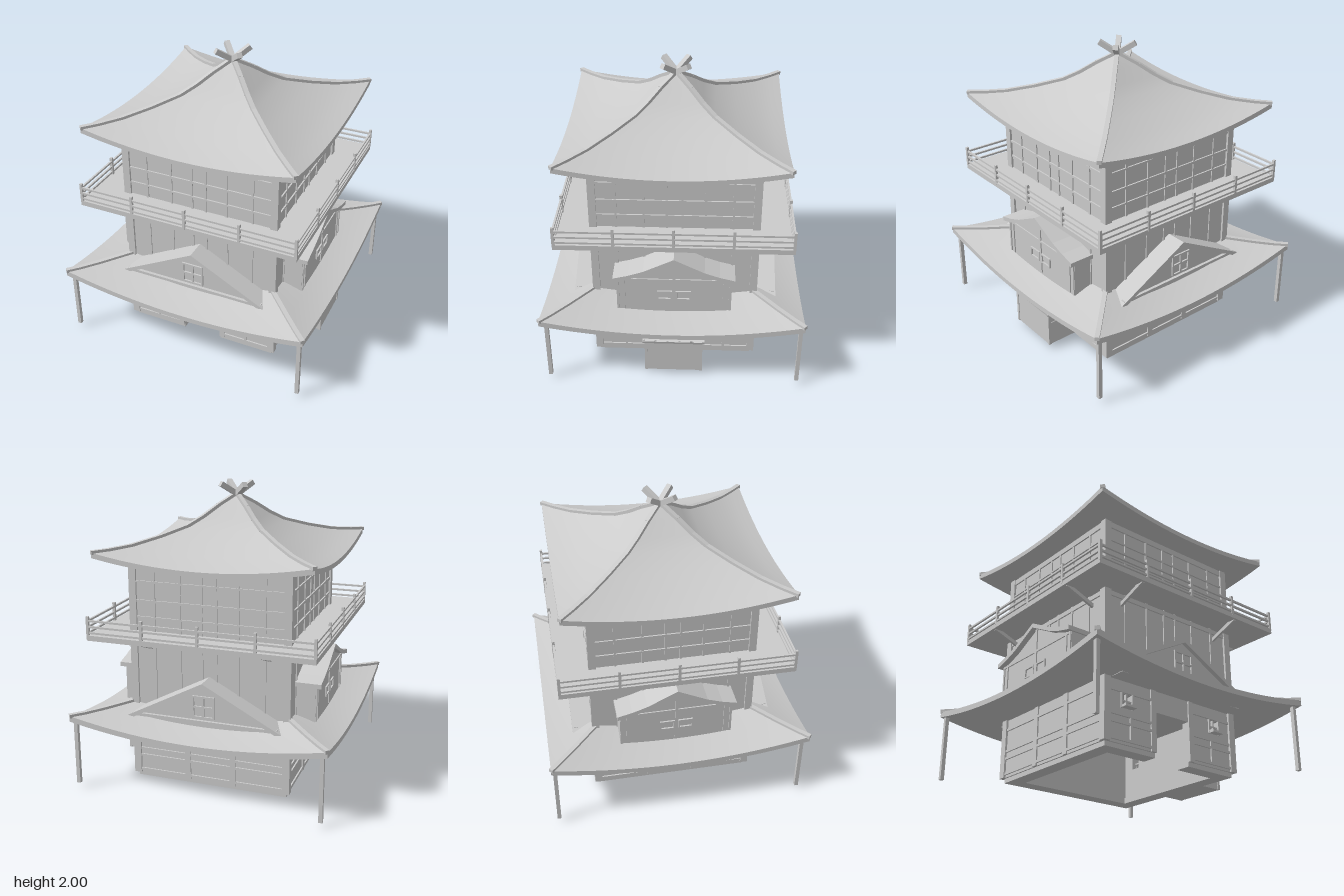
import * as THREE from 'three';
import { toCreasedNormals } from 'three/addons/utils/BufferGeometryUtils.js';
import { ParametricGeometry } from 'three/addons/geometries/ParametricGeometry.js';

const mat = new THREE.MeshStandardMaterial({ color: 0xcccccc, side: THREE.DoubleSide });

function add(parent, name, geo, x = 0, y = 0, z = 0) {
  const m = new THREE.Mesh(geo, mat);
  m.name = name;
  m.position.set(x, y, z);
  parent.add(m);
  return m;
}
const box = (p, name, w, h, d, x, y, z) => add(p, name, new THREE.BoxGeometry(w, h, d), x, y, z);

// Square bar running from point a to point b
function beam(parent, name, a, b, w, h) {
  const A = new THREE.Vector3(...a), B = new THREE.Vector3(...b);
  const m = new THREE.Mesh(new THREE.BoxGeometry(w, h, A.distanceTo(B)), mat);
  m.name = name;
  m.position.copy(A).add(B).multiplyScalar(0.5);
  m.lookAt(B);
  parent.add(m);
}

// Outline in x/y pushed from z0 to z1
function slab(parent, name, pts, z0, z1, holes = []) {
  const s = new THREE.Shape(pts.map(p => new THREE.Vector2(...p)));
  for (const [x, y, w, h] of holes) {
    s.holes.push(new THREE.Path([[x, y], [x, y + h], [x + w, y + h], [x + w, y]].map(p => new THREE.Vector2(...p))));
  }
  return add(parent, name, new THREE.ExtrudeGeometry(s, { depth: z1 - z0, bevelEnabled: false }), 0, 0, z0);
}

// A group for one of the four sides: 0 front, 1 left (+x), 2 back, 3 right
function side(parent, k, name) {
  const g = new THREE.Group();
  g.name = name;
  g.rotation.y = k * Math.PI / 2;
  parent.add(g);
  return g;
}

// Four-sided curved roof; profile rows are [radius, corner height, sag at mid side]
function roof(parent, name, profile, hipRows) {
  const n = profile.length - 1;
  for (let k = 0; k < 4; k++) {
    const g = side(parent, k, name);
    const geo = new ParametricGeometry((u, v, out) => {
      const [r, y, sag] = profile[Math.round(v * n)];
      const s = u * 2 - 1;
      out.set(s * r, y - sag * (1 - s * s), r);
    }, 20, n);
    add(g, name + 'Slope', toCreasedNormals(geo, 0.5));
    for (let i = 1; i < hipRows; i++) {
      const [r0, y0] = profile[i - 1], [r1, y1] = profile[i];
      beam(g, name + 'HipRidge', [r0, y0, r0], [r1, y1, r1], 0.03, 0.025);
    }
  }
}

// Flat or curved gable covering made from the top line of its left half
function gableRoof(parent, name, half, thick, z0, z1) {
  const top = [...half, ...half.slice(0, -1).reverse().map(([x, y]) => [-x, y])];
  const under = top.map(([x, y]) => [x, y - thick]).reverse();
  slab(parent, name, [...top, ...under], z0, z1);
}

function lowerWall(g, k) {
  const windows = k < 2 ? [[-0.41, 0.26, 0.08, 0.09], [0.33, 0.26, 0.08, 0.09]] : [];
  const door = k === 0 ? [[0.14, 0.03], [0.14, 0.29], [-0.14, 0.29], [-0.14, 0.03]] : [];
  slab(g, 'lowerWall', [[-0.54, 0.03], [-0.54, 0.43], [0.54, 0.43], [0.54, 0.03], ...door], 0.49, 0.54, windows);
  box(g, 'cornerPost', 0.05, 0.41, 0.05, 0.53, 0.235, 0.53);
  // plinth, broken at the doorway
  if (k === 0) for (const s of [-1, 1]) box(g, 'plinth', 0.39, 0.04, 0.1, s * 0.335, 0.02, 0.48);
  else box(g, 'plinth', 1.06, 0.04, 0.1, 0, 0.02, 0.48);
  // timber rails and uprights
  for (const s of [-1, 1]) {
    for (const y of [0.055, 0.16, 0.21, 0.36]) box(g, 'wallRail', 0.36, 0.016, 0.02, s * 0.34, y, 0.54);
    for (const x of k < 2 ? [0.16, 0.34] : [0.16]) {
      if (x === 0.34) box(g, 'wallUpright', 0.016, 0.16, 0.02, s * x, 0.135, 0.54);
      else box(g, 'wallUpright', 0.04, 0.4, 0.02, s * x, 0.23, 0.54);
    }
    if (k < 2) {
      box(g, 'windowMullion', 0.01, 0.09, 0.02, s * 0.37, 0.305, 0.53);
      box(g, 'windowBar', 0.08, 0.01, 0.02, s * 0.37, 0.305, 0.53);
      box(g, 'windowSill', 0.09, 0.015, 0.05, s * 0.37, 0.265, 0.56);
      for (const e of [-1, 1]) box(g, 'windowFrame', 0.012, 0.1, 0.02, s * 0.37 + e * 0.043, 0.305, 0.54);
    }
  }
  if (k > 1) for (const y of [0.055, 0.16, 0.21, 0.36]) box(g, 'wallRail', 0.3, 0.016, 0.02, 0, y, 0.54);
}

function upperWall(g) {
  box(g, 'cornerPost', 0.05, 1.07, 0.05, 0.53, 1.0, 0.53);
  for (const x of [-0.38, -0.2, -0.05, 0.05, 0.2, 0.38]) {
    box(g, 'wallMullion', 0.014, 1.05, 0.012, x, 1.0, 0.542);
  }
  for (const [y, h] of [[1.5, 0.04], [1.39, 0.012], [1.26, 0.016], [1.15, 0.012], [1.0, 0.03]]) {
    box(g, 'wallRail', 1.02, h, 0.016, 0, y, 0.542);
  }
}

function balconySide(g) {
  for (const y of [1.075, 1.115, 1.155]) box(g, 'balconyRail', 1.52, 0.013, 0.013, 0, y, 0.757);
  for (const x of [-0.38, 0, 0.38, 0.757]) box(g, 'balconyPost', 0.018, 0.14, 0.018, x, 1.115, 0.757);
  for (const x of [-0.41, 0.41]) beam(g, 'balconyBracket', [x, 0.945, 0.53], [x, 1.03, 0.745], 0.018, 0.025);
}

// Low triangular gable with a cross window
function triangleGable(g) {
  slab(g, 'gableWall', [[-0.5, 0.43], [0.5, 0.43], [0.5, 0.5], [0, 0.765], [-0.5, 0.5]], 0.5, 0.655);
  gableRoof(g, 'gableRoof', [[-0.53, 0.505], [0, 0.785]], 0.03, 0.5, 0.685);
  box(g, 'gableSill', 1.0, 0.02, 0.03, 0, 0.515, 0.66);
  for (const e of [-1, 0, 1]) {
    box(g, 'gableWindowUpright', 0.012, 0.15, 0.012, e * 0.07, 0.615, 0.66);
    box(g, 'gableWindowBar', 0.15, 0.012, 0.012, 0, 0.615 + e * 0.07, 0.66);
  }
}

// Tall dormer with a swept roof and paired windows
function dormer(g) {
  slab(g, 'dormerWall', [[-0.38, 0.43], [0.38, 0.43], [0.38, 0.745], [0.2, 0.805], [0, 0.905], [-0.2, 0.805], [-0.38, 0.745]], 0.5, 0.675);
  gableRoof(g, 'dormerRoof', [[-0.4, 0.765], [-0.3, 0.79], [-0.2, 0.825], [0, 0.925]], 0.03, 0.5, 0.715);
  for (const x of [-0.37, -0.33, 0.33, 0.37]) box(g, 'dormerPost', 0.014, 0.25, 0.012, x, 0.62, 0.677);
  box(g, 'dormerCenterPost', 0.02, 0.4, 0.012, 0, 0.69, 0.677);
  box(g, 'dormerRail', 0.74, 0.014, 0.012, 0, 0.735, 0.677);
  for (const s of [-1, 1]) {
    for (const e of [-1, 1]) {
      box(g, 'dormerWindowFrame', 0.1, 0.01, 0.012, s * 0.062, 0.61 + e * 0.03, 0.68);
      box(g, 'dormerWindowFrame', 0.01, 0.06, 0.012, s * 0.062 + e * 0.045, 0.61, 0.68);
    }
  }
}

// Lean-to shed with a battened sloping roof
function shed(g) {
  box(g, 'shedBody', 0.38, 0.25, 0.24, 0, 0.155, 0.645);
  for (const x of [-0.185, 0.185]) {
    box(g, 'shedPost', 0.02, 0.25, 0.02, x, 0.155, 0.76);
    box(g, 'shedSideRail', 0.02, 0.012, 0.2, x, 0.2, 0.65);
  }
  box(g, 'shedRail', 0.37, 0.012, 0.014, 0, 0.265, 0.765);
  beam(g, 'shedRoof', [0, 0.345, 0.53], [0, 0.283, 0.78], 0.42, 0.018);
  for (let i = 0; i < 6; i++) {
    const x = -0.2 + i * 0.08;
    beam(g, 'shedRoofBatten', [x, 0.357, 0.53], [x, 0.295, 0.78], 0.014, 0.012);
  }
  box(g, 'shedGableFill', 0.38, 0.05, 0.1, 0, 0.295, 0.58);
}

export function createModel() {
  const model = new THREE.Group();
  model.name = 'tower';
  const body = new THREE.Group();
  body.name = 'body';
  body.position.z = -0.01;
  model.add(body);

  // storeys and balcony
  box(body, 'upperStoreys', 1.08, 1.11, 1.08, 0, 0.985, 0);
  box(body, 'balconyFloor', 1.53, 0.035, 1.53, 0, 1.04, 0);
  for (let k = 0; k < 4; k++) {
    const g = side(body, k, ['frontSide', 'leftSide', 'backSide', 'rightSide'][k]);
    lowerWall(g, k);
    upperWall(g);
    balconySide(g);
    if (k % 2) dormer(g);
    else triangleGable(g);
    if (k === 1) shed(g);
    box(g, 'eavePost', 0.026, 0.46, 0.026, 0.835, 0.265, 0.835);
  }

  // curved roofs
  roof(model, 'lowerRoof', [
    [0.5, 0.56, 0.04], [0.6, 0.545, 0.05], [0.7, 0.53, 0.065], [0.8, 0.52, 0.08], [0.87, 0.518, 0.09],
    [0.87, 0.478, 0.085], [0.53, 0.43, 0]], 5);
  roof(model, 'topRoof', [
    [0, 1.915, 0], [0.1, 1.84, 0.003], [0.18, 1.77, 0.006], [0.26, 1.715, 0.012], [0.4, 1.66, 0.025],
    [0.54, 1.618, 0.045], [0.65, 1.602, 0.062], [0.73, 1.597, 0.075],
    [0.73, 1.562, 0.072], [0.53, 1.52, 0]], 8);

  // crossed ridge ends above the peak
  for (let k = 0; k < 4; k++) {
    beam(side(model, k, 'peakFinial'), 'finialBeam', [0, 1.91, 0], [0.085, 1.985, 0.085], 0.035, 0.035);
  }
  return model;
}
